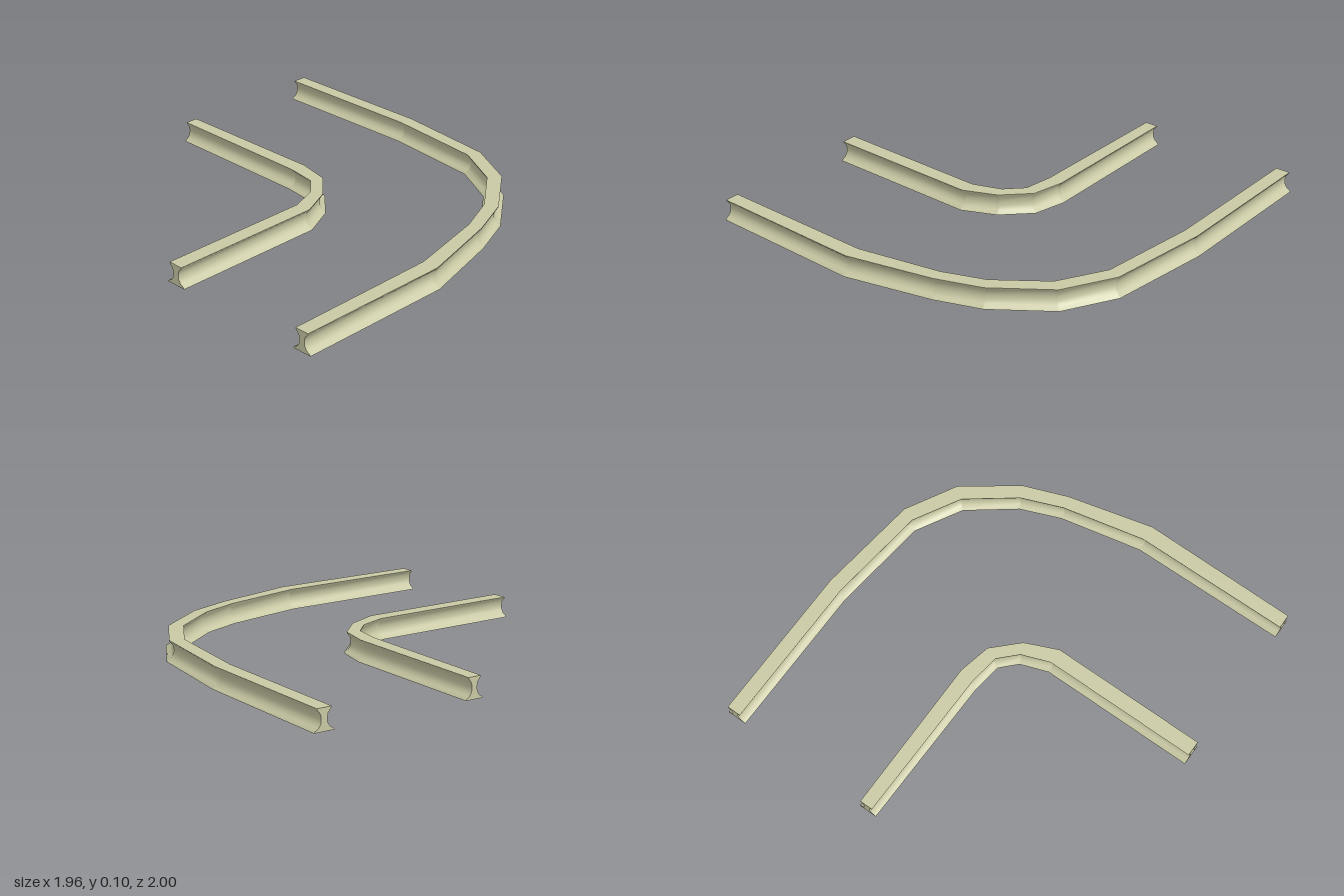
import * as THREE from 'three';

// Edge lines of each rail's foot in plan, as [x, z], from the left end round to the back end
const RAILS = {
  outerRail: {
    outer: [[-0.98, 0.99], [-0.17, 0.998], [0.27, 0.887], [0.5, 0.8], [0.77, 0.6], [0.912, 0.34], [0.976, -0.19], [0.973, -1]],
    inner: [[-0.98, 0.887], [-0.17, 0.883], [0.25, 0.795], [0.455, 0.713], [0.685, 0.538], [0.815, 0.305], [0.872, -0.2], [0.87, -1]],
  },
  innerRail: {
    outer: [[-0.98, 0.19], [-0.17, 0.19], [0, 0.113], [0.133, -0.02], [0.172, -0.19], [0.167, -1]],
    inner: [[-0.98, 0.08], [-0.175, 0.08], [-0.035, 0.03], [0.042, -0.05], [0.062, -0.2], [0.072, -1]],
  },
};

// Half of the I-shaped section: [inset as a share of the width, height]
const SIDE = [[0, 0], [0.04, 0.007], [0.22, 0.018], [0.33, 0.036], [0.35, 0.055], [0.32, 0.078], [0.16, 0.098], [0.14, 0.105]];

function railGeometry({ outer, inner }) {
  const positions = [];
  const indices = [];
  const far = SIDE.map(([s, y]) => [1 - s, y]).reverse();
  const top = SIDE.length - 1;
  // Outer side, top, inner side and underside, kept apart so their edges stay sharp
  const strips = [SIDE, [SIDE[top], far[0]], far, [far[top], SIDE[0]]];

  const addPoint = (i, [s, y]) => {
    const [ax, az] = outer[i];
    const [bx, bz] = inner[i];
    positions.push(ax + (bx - ax) * s, y, az + (bz - az) * s);
  };
  const quad = (a, b, c, d) => indices.push(a, b, c, a, c, d);

  // Each straight length has its own vertices: smooth round the section, creased at the bends
  for (let i = 0; i < outer.length - 1; i++) {
    for (const strip of strips) {
      const base = positions.length / 3;
      for (const p of strip) {
        addPoint(i, p);
        addPoint(i + 1, p);
      }
      for (let k = 0; k < strip.length - 1; k++) {
        const a = base + 2 * k;
        quad(a, a + 1, a + 3, a + 2);
      }
    }
  }

  // End caps, built as rows across the section
  for (const [i, isStart] of [[0, true], [outer.length - 1, false]]) {
    const base = positions.length / 3;
    for (const [s, y] of SIDE) {
      addPoint(i, [s, y]);
      addPoint(i, [1 - s, y]);
    }
    for (let k = 0; k < top; k++) {
      const a = base + 2 * k;
      if (isStart) quad(a, a + 2, a + 3, a + 1);
      else quad(a, a + 1, a + 3, a + 2);
    }
  }

  const geometry = new THREE.BufferGeometry();
  geometry.setAttribute('position', new THREE.Float32BufferAttribute(positions, 3));
  geometry.setIndex(indices);
  geometry.computeVertexNormals();
  return geometry;
}

export function createModel() {
  const group = new THREE.Group();
  group.name = 'curvedTrack';
  const railMetal = new THREE.MeshStandardMaterial({ color: 0xc8c8a4 });
  railMetal.name = 'pale olive metal';
  for (const [name, edges] of Object.entries(RAILS)) {
    const rail = new THREE.Mesh(railGeometry(edges), railMetal);
    rail.name = name;
    group.add(rail);
  }
  return group;
}
